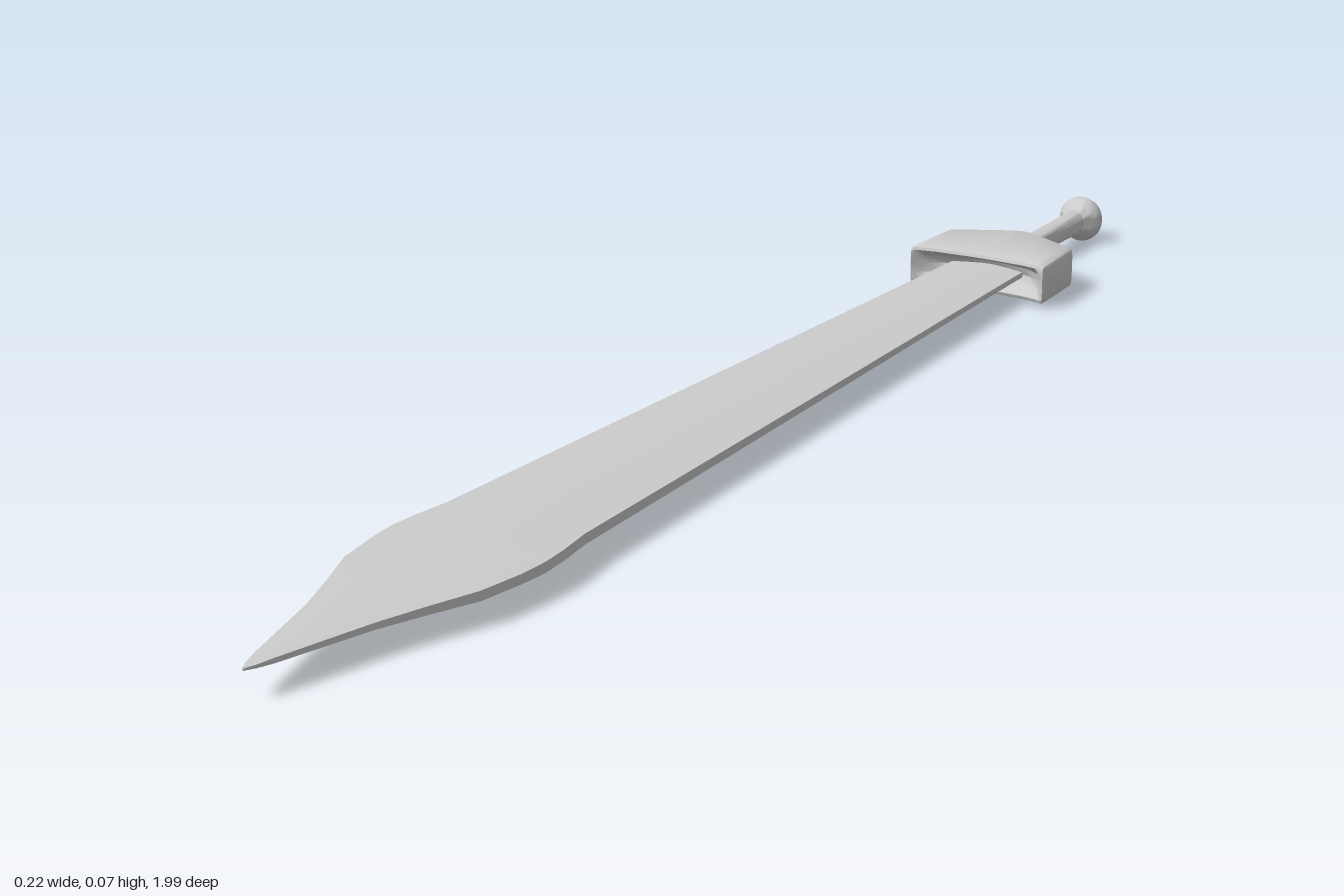
import * as THREE from 'three';
import { toCreasedNormals } from 'three/addons/utils/BufferGeometryUtils.js';

const MID = 0.035; // height of the sword's centre line

// Skins a row of closed loops (arrays of [x, y, z]) and caps both ends.
function loft(loops, crease) {
  const n = loops[0].length, pos = [], idx = [];
  loops.forEach(l => l.forEach(p => pos.push(...p)));
  for (let i = 0; i < loops.length - 1; i++) {
    for (let j = 0; j < n; j++) {
      const a = i * n + j, b = i * n + (j + 1) % n;
      idx.push(a, b, b + n, a, b + n, a + n);
    }
  }
  [0, loops.length - 1].forEach((row, end) => {
    const loop = loops[row], c = pos.length / 3;
    pos.push(...[0, 1, 2].map(k => loop.reduce((s, p) => s + p[k], 0) / n));
    for (let j = 0; j < n; j++) {
      const a = row * n + j, b = row * n + (j + 1) % n;
      if (end) idx.push(c, a, b); else idx.push(c, b, a);
    }
  });
  const g = new THREE.BufferGeometry();
  g.setAttribute('position', new THREE.Float32BufferAttribute(pos, 3));
  g.setIndex(idx);
  return toCreasedNormals(g, crease);
}

export function createModel() {
  const group = new THREE.Group();
  const material = new THREE.MeshStandardMaterial({ color: 0xcccccc });
  const add = (name, geometry) => {
    const mesh = new THREE.Mesh(geometry, material);
    mesh.name = name;
    group.add(mesh);
    return mesh;
  };

  // Blade: z, half width, half thickness at the ridge and at the blunt edge
  const stations = [
    [-0.70, 0.057, 0.007, 0.004], [-0.62, 0.058, 0.007, 0.004],
    [-0.05, 0.077, 0.010, 0.005], [0.53, 0.095, 0.011, 0.0065],
    [0.58, 0.102, 0.011, 0.0065], [0.62, 0.105, 0.011, 0.0065],
    [0.66, 0.102, 0.010, 0.006], [0.72, 0.092, 0.010, 0.006],
    [0.78, 0.068, 0.008, 0.005], [0.84, 0.046, 0.007, 0.004],
    [0.96, 0.013, 0.004, 0.003], [0.98, 0.007, 0.003, 0.002],
    [0.993, 0.001, 0.002, 0.001],
  ];
  add('blade', loft(stations.map(([z, w, r, e]) => [
    [w, MID - e, z], [w, MID + e, z], [0, MID + r, z],
    [-w, MID + e, z], [-w, MID - e, z], [0, MID - r, z],
  ]), 0.5));

  // Guard: sections across x with a peaked back and a grooved front
  const H = 0.029, R = 0.006;
  // position across, back z, front z, groove depth, inset of the rounded ends
  const half = [
    [0, -0.778, -0.627, 0.035, 0], [0.012, -0.776, -0.627, 0.035, 0],
    [0.035, -0.765, -0.626, 0.033, 0], [0.07, -0.748, -0.624, 0.026, 0],
    [0.092, -0.736, -0.620, 0.014, 0], [0.103, -0.729, -0.616, 0.003, 0],
    [0.107, -0.726, -0.615, 0, 0.002], [0.109, -0.722, -0.618, 0, 0.006],
  ];
  const across = [...half.slice(1).reverse().map(([x, ...r]) => [-x, ...r]), ...half];
  add('guard', loft(across.map(([x, back, front, depth, inset]) => {
    const h = H - inset, c = R * 0.3;
    const section = [
      [-h, back + R], [-h + c, back + c], [-h + R, back],
      [h - R, back], [h - c, back + c], [h, back + R],
      [h, front - R], [h - c, front - c], [h - R, front],
      [0.012, front - depth * 0.8], [0, front - depth], [-0.012, front - depth * 0.8],
      [-h + R, front], [-h + c, front - c], [-h, front - R],
    ];
    // the sides draw in slightly toward the back
    return section.map(([y, z]) => [x * (1 + 0.045 * (z - front) / 0.11), MID + y, z]);
  }), 0.6));

  // Turned parts: [radius, distance behind the origin]
  const turned = (name, profile) => {
    const points = profile.map(([r, d]) => new THREE.Vector2(r, d));
    const g = toCreasedNormals(new THREE.LatheGeometry(points, 32), 0.7);
    g.rotateX(-Math.PI / 2);
    add(name, g).position.y = MID;
  };
  turned('grip', [[0, 0.72], [0.0165, 0.72], [0.0175, 0.85], [0.0185, 0.965]]);
  turned('pommel', [
    [0, 0.95], [0.019, 0.952], [0.024, 0.960], [0.031, 0.967], [0.0345, 0.975],
    [0.0345, 0.982], [0.031, 0.990], [0.022, 0.996], [0.011, 0.999], [0, 1],
  ]);

  return group;
}
